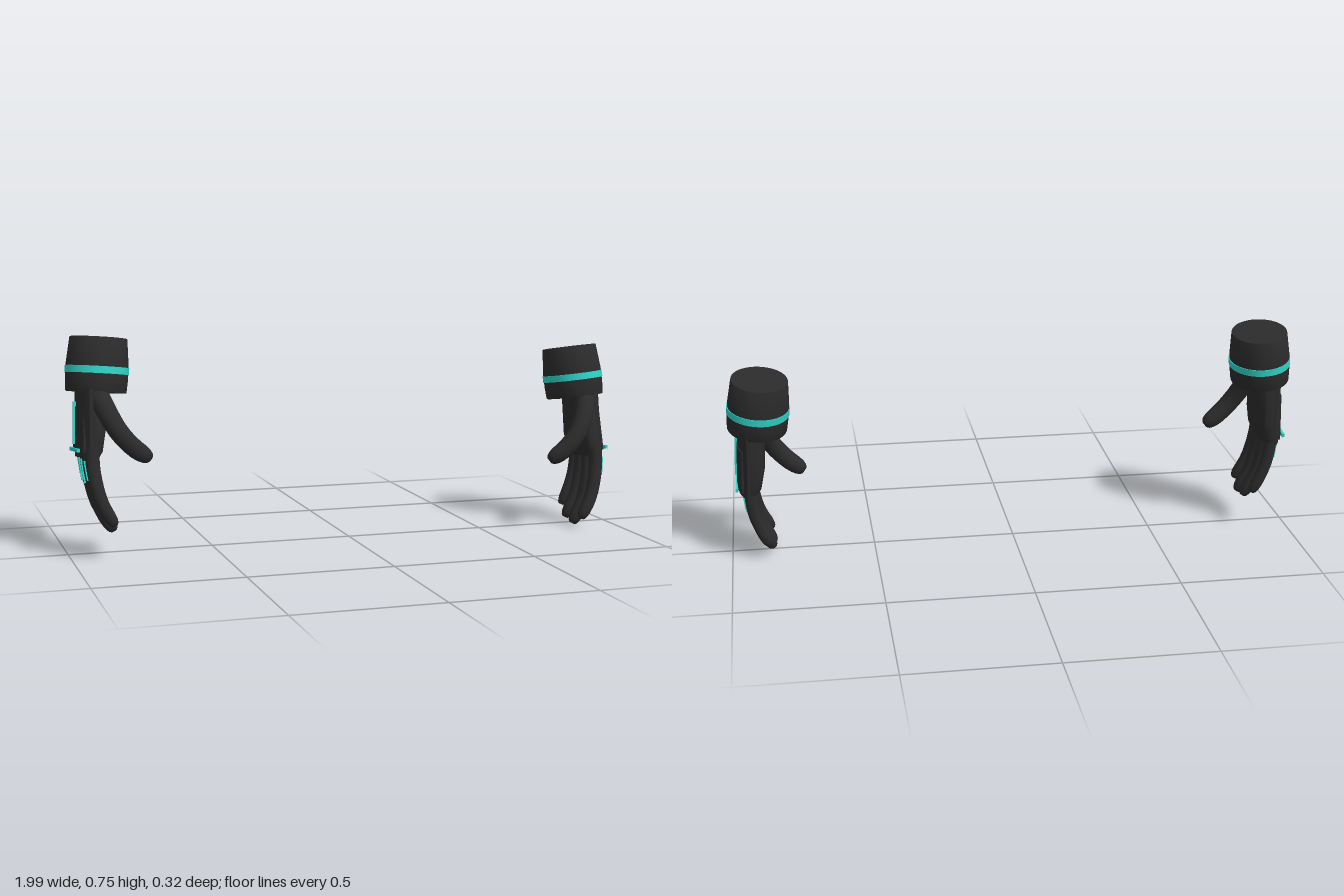
import * as THREE from 'three';
import { toCreasedNormals } from 'three/addons/utils/BufferGeometryUtils.js';

const V = (x, y, z) => new THREE.Vector3(x, y, z);

// Sweep of oval rings along [x, y, z, depth radius, width radius]; power > 2 squares the oval
function loft(rows, power = 2, sides = 20) {
  const pos = [], idx = [];
  const c = rows.map(r => V(r[0], r[1], r[2]));
  rows.forEach((r, i) => {
    const t = c[Math.min(i + 1, c.length - 1)].clone().sub(c[Math.max(i - 1, 0)]).normalize();
    const b = V(0, 0, 1).addScaledVector(t, -t.z).normalize();
    const a = b.clone().cross(t);
    for (let j = 0; j < sides; j++) {
      const q = j / sides * Math.PI * 2, co = Math.cos(q), si = Math.sin(q);
      const p = c[i].clone()
        .addScaledVector(a, r[3] * Math.sign(co) * Math.abs(co) ** (2 / power))
        .addScaledVector(b, r[4] * Math.sign(si) * Math.abs(si) ** (2 / power));
      pos.push(p.x, p.y, p.z);
    }
  });
  const n = rows.length, first = n * sides, last = first + 1;
  pos.push(...c[0].toArray(), ...c[n - 1].toArray());
  for (let j = 0; j < sides; j++) {
    const k = (j + 1) % sides, e = (n - 1) * sides;
    for (let i = 0; i < n - 1; i++) {
      const o = i * sides, u = o + sides;
      idx.push(o + j, o + k, u + j, o + k, u + k, u + j);
    }
    idx.push(first, k, j, last, e + j, e + k);
  }
  const g = new THREE.BufferGeometry();
  g.setAttribute('position', new THREE.Float32BufferAttribute(pos, 3));
  g.setIndex(idx);
  return toCreasedNormals(g, 0.8);
}

// Digit: smooth path through the joints, ending in a blunt tip
function digit(joints, r0, r1) {
  const curve = new THREE.CatmullRomCurve3(joints.map(j => V(...j)));
  const rows = [], ts = [0, 0.1, 0.2, 0.3, 0.4, 0.5, 0.6, 0.7, 0.8, 0.88, 0.94, 0.98, 1];
  const tip = { 9: 0.97, 10: 0.86, 11: 0.68, 12: 0.45 };
  ts.forEach((t, i) => {
    const r = (r0 + (r1 - r0) * t) * (tip[i] ?? 1);
    rows.push([...curve.getPointAt(t).toArray(), r, r]);
  });
  return loft(rows, 2.2, 16);
}

// Thin bar between two points, facing +x
function strip(a, b, width, thick) {
  const y = b.clone().sub(a), len = y.length();
  y.normalize();
  const x = V(1, 0, 0).addScaledVector(y, -y.x).normalize();
  const g = new THREE.BoxGeometry(thick, len, width);
  return g.applyMatrix4(new THREE.Matrix4().makeBasis(x, y, x.clone().cross(y))
    .setPosition(a.clone().add(b).multiplyScalar(0.5)));
}

// Oval lathe set on the tilted wrist axis; profile is [radius factor, height]
function cuffLathe(profile) {
  const g = new THREE.LatheGeometry(profile.map(p => new THREE.Vector2(...p)), 40);
  g.scale(0.104, 1, 0.113);
  const y = V(-0.09, 1, -0.125).normalize();
  const x = V(1, 0, 0).addScaledVector(y, -y.x).normalize();
  g.applyMatrix4(new THREE.Matrix4().makeBasis(x, y, x.clone().cross(y)).setPosition(0.885, 0.538, -0.044));
  return toCreasedNormals(g, 0.6);
}

// Curved plate on the back of the hand
function backPlate(halfTop, halfBottom, yTop, yBottom, xTop, xBottom, drop, thick) {
  const g = new THREE.BoxGeometry(thick, 1, 2, 1, 6, 16), p = g.attributes.position;
  for (let i = 0; i < p.count; i++) {
    const v = 0.5 - p.getY(i), s = p.getZ(i);
    const half = halfTop + (halfBottom - halfTop) * v;
    const z = -0.033 + 0.019 * v + s * half;
    p.setXYZ(i, p.getX(i) + xTop + (xBottom - xTop) * v - drop * Math.abs(s) ** 3,
      yTop + (yBottom - yTop) * v + s * half * 0.11, z);
  }
  return toCreasedNormals(g, 0.6);
}

// Reflection across x with corner order restored
function mirrored(geometry) {
  const g = geometry.index ? geometry.toNonIndexed() : geometry.clone();
  for (const name of ['position', 'normal']) {
    const a = g.attributes[name];
    for (let i = 0; i < a.count; i += 3) {
      const t = [0, 2, 1].map(k => [-a.getX(i + k), a.getY(i + k), a.getZ(i + k)]);
      t.forEach((q, k) => a.setXYZ(i + k, ...q));
    }
  }
  return g;
}

export function createModel() {
  const fabric = new THREE.MeshStandardMaterial({ color: 0x2b2b2b });
  fabric.name = 'charcoal';
  const trim = new THREE.MeshStandardMaterial({ color: 0x30d5c8 });
  trim.name = 'turquoise';
  const parts = [];
  const add = (name, geometry, material = fabric) => parts.push({ name, geometry, material });

  // Cuff with its glowing ring
  add('cuff', cuffLathe([[0, -0.068], [0.9, -0.068], [0.97, -0.074], [0.985, -0.07], [1.01, -0.03],
    [1.01, 0.02], [0.93, 0.108], [0.92, 0.11], [0, 0.11]]));
  add('cuffRing', cuffLathe([[1, -0.012], [1.035, -0.012], [1.035, 0.012], [1, 0.012]]), trim);

  // Palm
  add('palm', loft([
    [0.9, 0.53, -0.04, 0.05, 0.075], [0.91, 0.46, -0.034, 0.048, 0.09], [0.913, 0.4, -0.028, 0.045, 0.099],
    [0.915, 0.33, -0.02, 0.043, 0.104], [0.92, 0.27, -0.012, 0.036, 0.106], [0.923, 0.25, -0.01, 0.024, 0.1],
  ], 3, 28));

  // Back of the hand
  add('backGuard', backPlate(0.107, 0.116, 0.48, 0.252, 0.953, 0.96, 0.03, 0.012));
  add('raisedPlate', backPlate(0.086, 0.1, 0.42, 0.268, 0.959, 0.966, 0.016, 0.01));
  add('backStripe', strip(V(0.966, 0.437, -0.03), V(0.972, 0.295, -0.016), 0.014, 0.009), trim);
  add('knuckleBar', strip(V(0.971, 0.286, 0.078), V(0.971, 0.266, -0.104), 0.012, 0.009), trim);

  // Fingers: z at knuckle, middle and tip, tip height, radius, tip x
  const fingers = [
    ['index', 0.076, 0.091, 0.108, 0.031, 0.025, 0.858],
    ['middle', 0.02, 0.035, 0.047, 0.002, 0.0275, 0.853],
    ['ring', -0.038, -0.03, -0.02, 0.012, 0.0265, 0.855],
    ['little', -0.092, -0.09, -0.085, 0.048, 0.0225, 0.868],
  ];
  for (const [name, z0, z1, z2, tipY, r, tipX] of fingers) {
    const h = 0.17 - tipY;
    add(name + 'Finger', digit([[0.925, 0.29, z0], [0.926, 0.24, z0 * 0.75 + z1 * 0.25], [0.917, 0.17, z1],
      [0.897, 0.17 - h * 0.5, (z1 + z2) / 2], [tipX, tipY, z2]], r, r * 0.88));
    const end = name === 'little' ? 0.182 : name === 'index' ? 0.185 : 0.168;
    add(name + 'Stripe', strip(V(0.926 + r, 0.25, z0 * 0.9 + z1 * 0.1),
      V(0.917 + r, end, z1), 0.011, 0.009), trim);
  }

  // Thumb
  add('thumb', digit([[0.9, 0.475, 0.035], [0.878, 0.42, 0.075], [0.842, 0.35, 0.103],
    [0.795, 0.295, 0.106], [0.735, 0.25, 0.098]], 0.036, 0.03));

  // Pair of gloves; the right one hangs a little higher and further forward
  const model = new THREE.Group();
  const left = new THREE.Group(), right = new THREE.Group();
  left.name = 'leftGlove';
  right.name = 'rightGlove';
  right.position.set(0, 0.083, 0.024);
  for (const { name, geometry, material } of parts) {
    const l = new THREE.Mesh(geometry, material);
    const r = new THREE.Mesh(mirrored(geometry), material);
    l.name = r.name = name;
    left.add(l);
    right.add(r);
  }
  model.add(left, right);
  return model;
}
